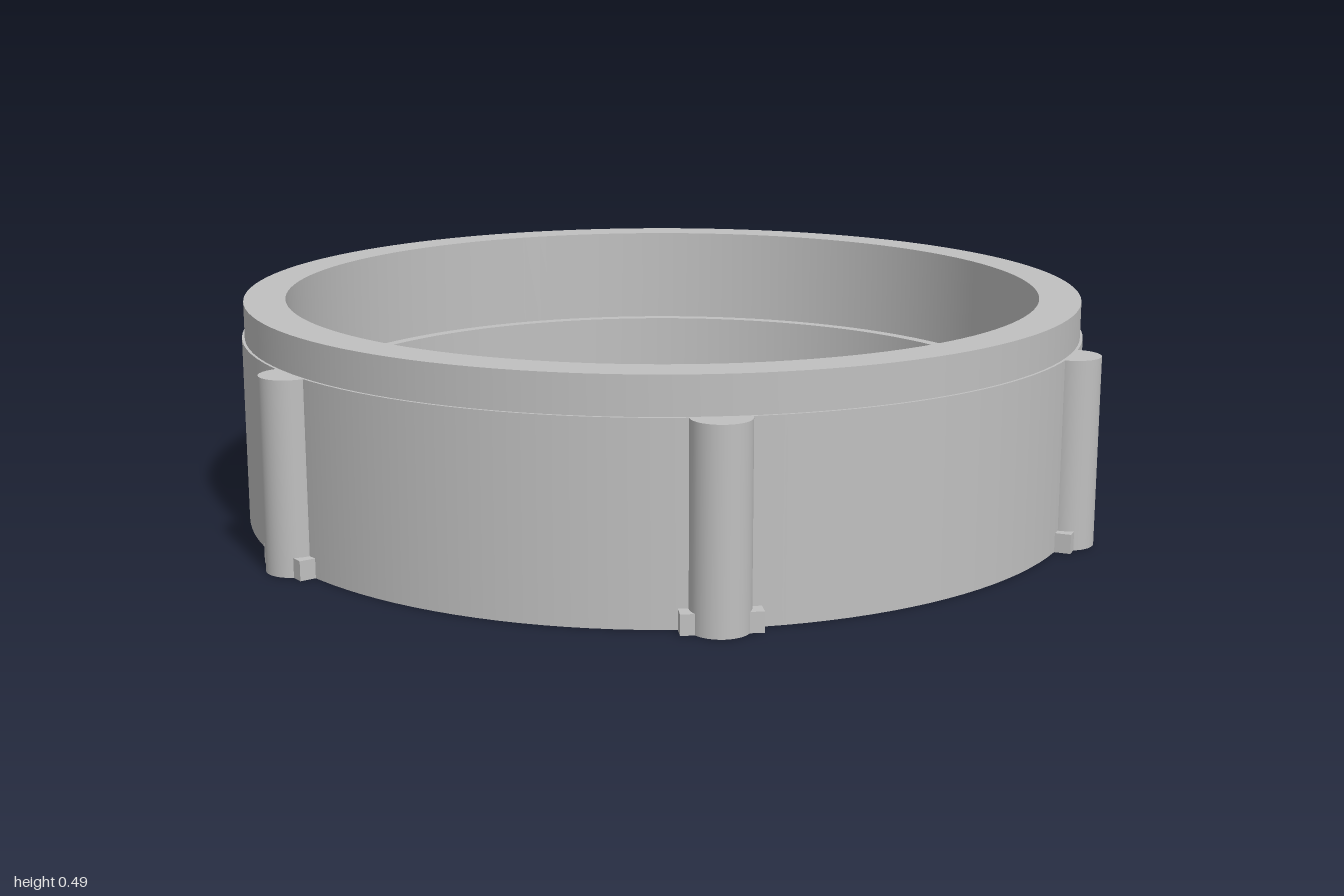
import * as THREE from 'three';
import { mergeGeometries } from 'three/addons/utils/BufferGeometryUtils.js';

const FLOOR_Y = 0.05;

// Revolves a profile, keeping every corner sharp and the round sides smooth
function sharpLathe(profile, segments) {
  const bands = [];
  for (let i = 0; i < profile.length - 1; i++) {
    const pair = [profile[i], profile[i + 1]].map(([r, y]) => new THREE.Vector2(r, y));
    bands.push(new THREE.LatheGeometry(pair, segments));
  }
  return mergeGeometries(bands);
}

function rectangle(PathType, halfX, halfZ) {
  const path = new PathType();
  path.moveTo(-halfX, -halfZ);
  path.lineTo(halfX, -halfZ);
  path.lineTo(halfX, halfZ);
  path.lineTo(-halfX, halfZ);
  path.closePath();
  return path;
}

export function createModel() {
  const model = new THREE.Group();
  model.name = 'ribbedCap';
  const grey = new THREE.MeshStandardMaterial({ color: 0xc0c0c0 });
  grey.name = 'grey';

  const add = (parent, geometry, name) => {
    const mesh = new THREE.Mesh(geometry, grey);
    mesh.name = name;
    parent.add(mesh);
    return mesh;
  };

  // Round cup: underside, stepped outer wall, rim, inner ledge and floor
  add(model, sharpLathe([
    [0, 0], [0.939, 0], [0.939, 0.41], [0.933, 0.41], [0.933, 0.49],
    [0.842, 0.49], [0.842, 0.265], [0.813, 0.265], [0.813, FLOOR_Y], [0, FLOOR_Y],
  ], 128), 'cup');

  // Hollow rectangular socket in the middle of the floor
  const socketShape = rectangle(THREE.Shape, 0.083, 0.13);
  socketShape.holes.push(rectangle(THREE.Path, 0.057, 0.105));
  const socket = new THREE.ExtrudeGeometry(socketShape, { depth: 0.2, bevelEnabled: false });
  socket.rotateX(-Math.PI / 2);
  add(model, socket, 'socket').position.y = FLOOR_Y;

  // Six grip ribs, each with a small foot block across its base
  for (let i = 0; i < 6; i++) {
    const grip = new THREE.Group();
    grip.name = 'grip' + (i + 1);
    grip.rotation.y = (i * Math.PI) / 3;
    add(grip, new THREE.CylinderGeometry(0.06, 0.06, 0.41, 32), 'rib').position.set(0.94, 0.205, 0);
    add(grip, new THREE.BoxGeometry(0.06, 0.042, 0.16), 'foot').position.set(0.94, 0.021, 0);
    model.add(grip);
  }
  return model;
}
